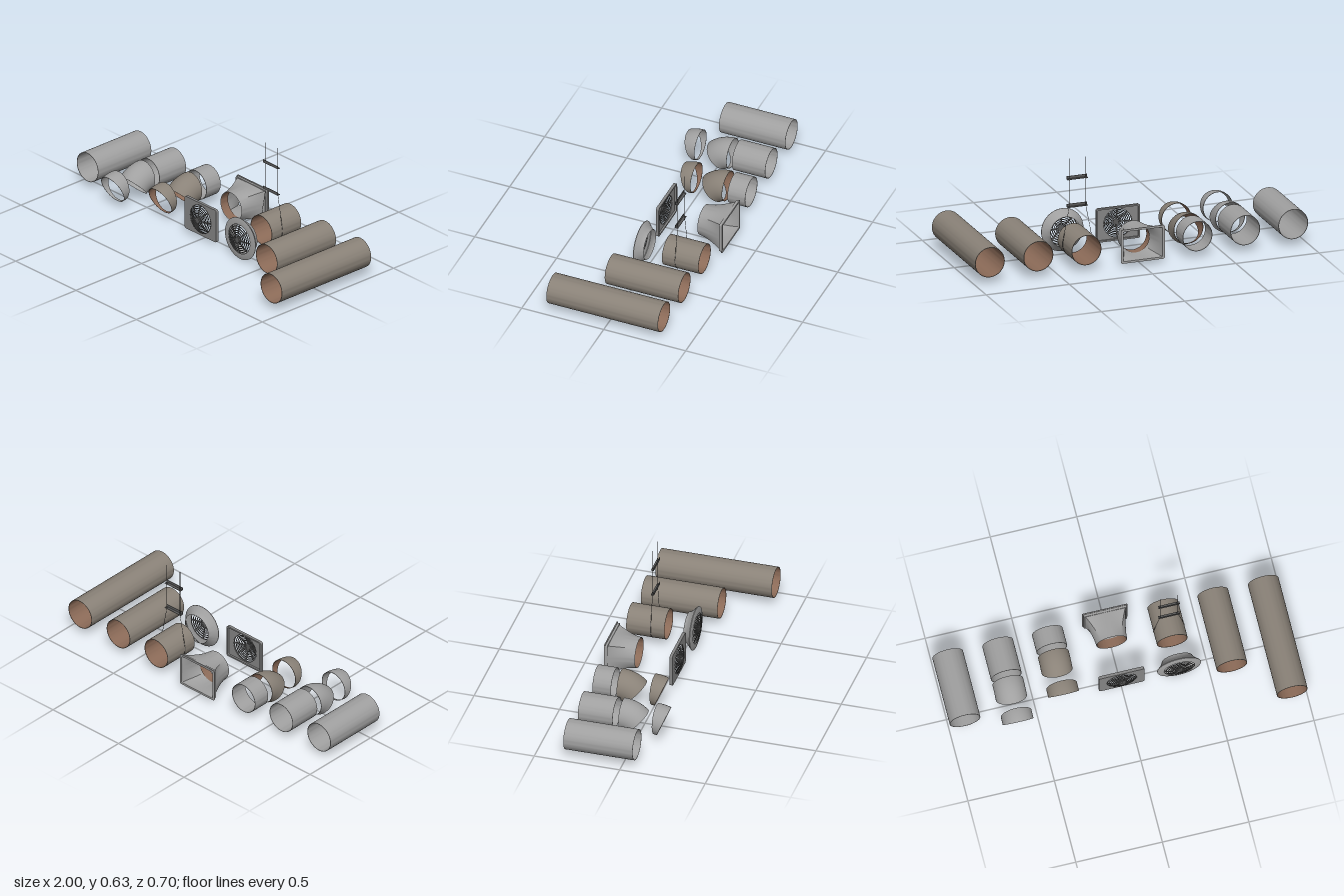
import * as THREE from 'three';
import { toCreasedNormals } from 'three/addons/utils/BufferGeometryUtils.js';

const mat = (name, color, side = THREE.FrontSide) => {
  const m = new THREE.MeshStandardMaterial({ color, side });
  m.name = name;
  return m;
};
const Y = 0.1315, R = 0.0885, WALL = 0.0025, BACK = -0.33, BEND = 0.12;

export function createModel() {
  const root = new THREE.Group();
  const zinc = mat('zinc grey', 0xa0a0a0, THREE.DoubleSide);
  const taupe = mat('taupe coating', 0x8a8278);
  const copper = mat('brown lining', 0x8c6b58);
  const panelGrey = mat('panel grey', 0x858585);
  const dark = mat('dark steel', 0x5a5a5a);

  const group = (name, x, y = Y, z = 0) => {
    const g = new THREE.Group();
    g.name = name;
    g.position.set(x, y, z);
    root.add(g);
    return g;
  };
  const add = (parent, name, geo, material, x = 0, y = 0, z = 0) => {
    const m = new THREE.Mesh(geo, material);
    m.name = name;
    m.position.set(x, y, z);
    parent.add(m);
    return m;
  };
  // Profile of [radius, z] turned around the z axis
  const turned = (pts, crease = 0.5) => toCreasedNormals(
    new THREE.LatheGeometry(pts.map(p => new THREE.Vector2(p[0], p[1])), 64).rotateX(Math.PI / 2), crease);
  // Turn a surface inside out
  const flip = geo => {
    const g = geo.index ? geo.toNonIndexed() : geo;
    const p = g.attributes.position, n = g.attributes.normal;
    for (let i = 0; i < p.count; i += 3) {
      for (const a of [p, n]) {
        const b = [a.getX(i + 1), a.getY(i + 1), a.getZ(i + 1)];
        a.setXYZ(i + 1, a.getX(i + 2), a.getY(i + 2), a.getZ(i + 2));
        a.setXYZ(i + 2, ...b);
      }
    }
    for (let i = 0; i < n.count; i++) n.setXYZ(i, -n.getX(i), -n.getY(i), -n.getZ(i));
    return g;
  };

  // Straight pipe with wall thickness
  const pipe = (name, x, z0, z1, outer, inner) => {
    const g = group(name, x), r = R - WALL;
    add(g, 'pipeOutside', turned([[r, z0], [R, z0], [R, z1], [r, z1]]), outer);
    add(g, 'pipeLining', turned([[r, z1], [r, z0]]), inner);
  };
  // Elbow that bends downward
  const axes = new THREE.Matrix4().makeBasis(
    new THREE.Vector3(0, 1, 0), new THREE.Vector3(0, 0, 1), new THREE.Vector3(1, 0, 0));
  const elbow = (name, x, z, deg, outer, inner) => {
    const g = group(name, x, Y, z), a = THREE.MathUtils.degToRad(deg);
    const skin = r => new THREE.TorusGeometry(BEND, r, 48, 14, a).applyMatrix4(axes).translate(0, -BEND, 0);
    add(g, 'elbowOutside', skin(R), outer);
    add(g, 'elbowLining', flip(skin(R - WALL)), inner);
    const rim = () => new THREE.RingGeometry(R - WALL, R, 48);
    add(g, 'backRim', rim().rotateY(Math.PI), outer);
    add(g, 'frontRim', rim().rotateX(a), outer, 0, BEND * (Math.cos(a) - 1), BEND * Math.sin(a));
  };

  pipe('greyPipe', -0.9115, BACK, 0.075, zinc, zinc);
  pipe('greyElbowPipe', -0.623, BACK, -0.127, zinc, zinc);
  elbow('greyWideElbow', -0.623, -0.094, 45, zinc, zinc);
  elbow('greySlightElbow', -0.623, 0.102, 22.5, zinc, zinc);
  pipe('shortGreyPipe', -0.336, BACK, -0.222, zinc, zinc);
  elbow('brownWideElbow', -0.336, -0.189, 45, taupe, copper);
  elbow('brownSlightElbow', -0.336, 0.004, 22.5, taupe, copper);
  pipe('shortBrownPipe', 0.331, BACK, -0.107, taupe, copper);
  pipe('mediumBrownPipe', 0.62, BACK, 0.118, taupe, copper);
  pipe('longBrownPipe', 0.9115, BACK, 0.35, taupe, copper);

  // Rounded rectangle, optionally used as a hole
  const roundedRect = (w, h, r, Type = THREE.Shape) => {
    const s = new Type(), c = [[1, 1], [-1, 1], [-1, -1], [1, -1]];
    c.forEach(([i, j], k) =>
      s.absarc(i * (w - r), j * (h - r), r, k * Math.PI / 2, (k + 1) * Math.PI / 2, false));
    return s.closePath();
  };
  const plate = (shape, hole, depth) => {
    shape.holes.push(hole);
    return new THREE.ExtrudeGeometry(shape, { depth, bevelEnabled: false, curveSegments: 24 });
  };

  // Hood that blends from a rectangle at the back to a circle at the front
  const loft = inset => {
    const rows = 14, n = 64, pos = [], idx = [];
    for (let i = 0; i <= rows; i++) {
      const t = i / rows, k = Math.pow(1 - t, 1.5);
      for (let j = 0; j < n; j++) {
        const a = j / n * Math.PI * 2, c = Math.cos(a), s = Math.sin(a);
        const m = Math.max(Math.abs(c), Math.abs(s));
        pos.push((0.122 - inset) * c / m * k + (R - inset) * c * (1 - k),
          (0.092 - inset) * s / m * k + (R - inset) * s * (1 - k), -0.345 + 0.163 * t);
        if (i < rows) {
          const p = i * n + j, q = i * n + (j + 1) % n;
          idx.push(p, q, p + n, q, q + n, p + n);
        }
      }
    }
    const g = new THREE.BufferGeometry();
    g.setAttribute('position', new THREE.Float32BufferAttribute(pos, 3));
    g.setIndex(idx);
    g.computeVertexNormals();
    return toCreasedNormals(g, 0.6);
  };
  const hood = group('transitionHood', 0);
  add(hood, 'hoodOutside', loft(0), zinc);
  add(hood, 'hoodInside', flip(loft(WALL)), zinc);
  add(hood, 'hoodFlange', plate(roundedRect(0.131, 0.1, 0.01),
    roundedRect(0.118, 0.088, 0.006, THREE.Path), 0.006), zinc, 0, 0, -0.35);
  add(hood, 'hoodFlangeSkirt', plate(roundedRect(0.125, 0.095, 0.008),
    roundedRect(0.118, 0.088, 0.006, THREE.Path), 0.014), zinc, 0, 0, -0.345);
  add(hood, 'collarLining', turned([[R - 0.004, -0.182], [R - 0.004, -0.235]]), copper);

  // Domed guard of rings and spokes
  const guard = (parent, radius, z, height, ringCount) => {
    const g = new THREE.Group();
    g.name = 'grille';
    parent.add(g);
    const dome = r => z + height * (1 - (r / radius) ** 2);
    for (let i = 0; i < ringCount; i++) {
      const r = 0.03 + (radius - 0.03) * i / (ringCount - 1);
      add(g, 'grilleRing', new THREE.TorusGeometry(r, 0.0027, 6, 48), dark, 0, 0, dome(r));
    }
    add(g, 'grilleHub', new THREE.CylinderGeometry(0.017, 0.02, 0.007, 32).rotateX(Math.PI / 2),
      dark, 0, 0, dome(0));
    add(g, 'hubRing', new THREE.TorusGeometry(0.024, 0.0022, 6, 36), dark, 0, 0, dome(0.024));
    for (let i = 0; i < 8; i++) {
      const r0 = 0.015, len = radius - r0, mid = (radius + r0) / 2;
      const arm = new THREE.BoxGeometry(len, 0.008, 0.004, 8, 1, 1).translate(mid, 0, 0);
      const p = arm.attributes.position;
      for (let k = 0; k < p.count; k++) {
        p.setY(k, p.getY(k) * (0.6 + 0.6 * p.getX(k) / radius));
        p.setZ(k, p.getZ(k) + dome(p.getX(k)) - 0.002);
      }
      arm.computeVertexNormals();
      add(g, 'grilleSpoke', arm, dark).rotation.z = i * Math.PI / 4;
    }
  };

  // Rectangular vent cover
  const cover = group('rectangularVent', 0);
  const hole = new THREE.Path().absarc(0, 0, 0.086, 0, Math.PI * 2, true);
  add(cover, 'ventPanel', plate(roundedRect(0.131, 0.1, 0.012), hole, 0.006), panelGrey, 0, 0, 0.046);
  add(cover, 'ventFrame', plate(roundedRect(0.131, 0.1, 0.012),
    roundedRect(0.122, 0.091, 0.006, THREE.Path), 0.012), panelGrey, 0, 0, 0.035);
  guard(cover, 0.085, 0.051, 0.022, 7);

  // Round vent with flared rim
  const round = group('roundVent', 0.331);
  add(round, 'flaredRim', turned([[R, 0.004], [0.092, 0.015], [0.104, 0.03], [0.1265, 0.05],
    [0.1265, 0.053], [0.097, 0.061], [0.088, 0.06], [0.088, 0.056]], 0.4), zinc);
  guard(round, 0.09, 0.058, 0.016, 6);

  // Hanger: rods, cross channels and a strap under the pipe
  const hanger = group('hanger', 0.331, 0, -0.187);
  const rodX = 0.05, low = 0.345, high = 0.635;
  for (const s of [-1, 1])
    add(hanger, 'hangerRod', new THREE.CylinderGeometry(0.0015, 0.0015, high - low, 8), dark,
      s * rodX, (high + low) / 2, 0);
  for (const y of [0.347, 0.512]) {
    add(hanger, 'channelBase', new THREE.BoxGeometry(0.122, 0.003, 0.017), dark, 0, y, 0.002);
    add(hanger, 'channelLip', new THREE.BoxGeometry(0.122, 0.018, 0.002), dark, 0, y + 0.008, 0.01);
    for (const s of [-1, 1])
      add(hanger, 'rodNut', new THREE.CylinderGeometry(0.005, 0.005, 0.008, 6), dark, s * rodX, y, 0);
  }
  const strap = [new THREE.Vector3(rodX, low, 0)], t = 0.187;
  for (let i = 0; i <= 24; i++) {
    const a = t - (Math.PI + 2 * t) * i / 24;
    strap.push(new THREE.Vector3(0.0895 * Math.cos(a), Y + 0.0895 * Math.sin(a), 0));
  }
  strap.push(new THREE.Vector3(-rodX, low, 0));
  const path = new THREE.CurvePath();
  for (let i = 1; i < strap.length; i++) path.add(new THREE.LineCurve3(strap[i - 1], strap[i]));
  add(hanger, 'pipeStrap', new THREE.TubeGeometry(path, 120, 0.0013, 6), dark);

  return root;
}
